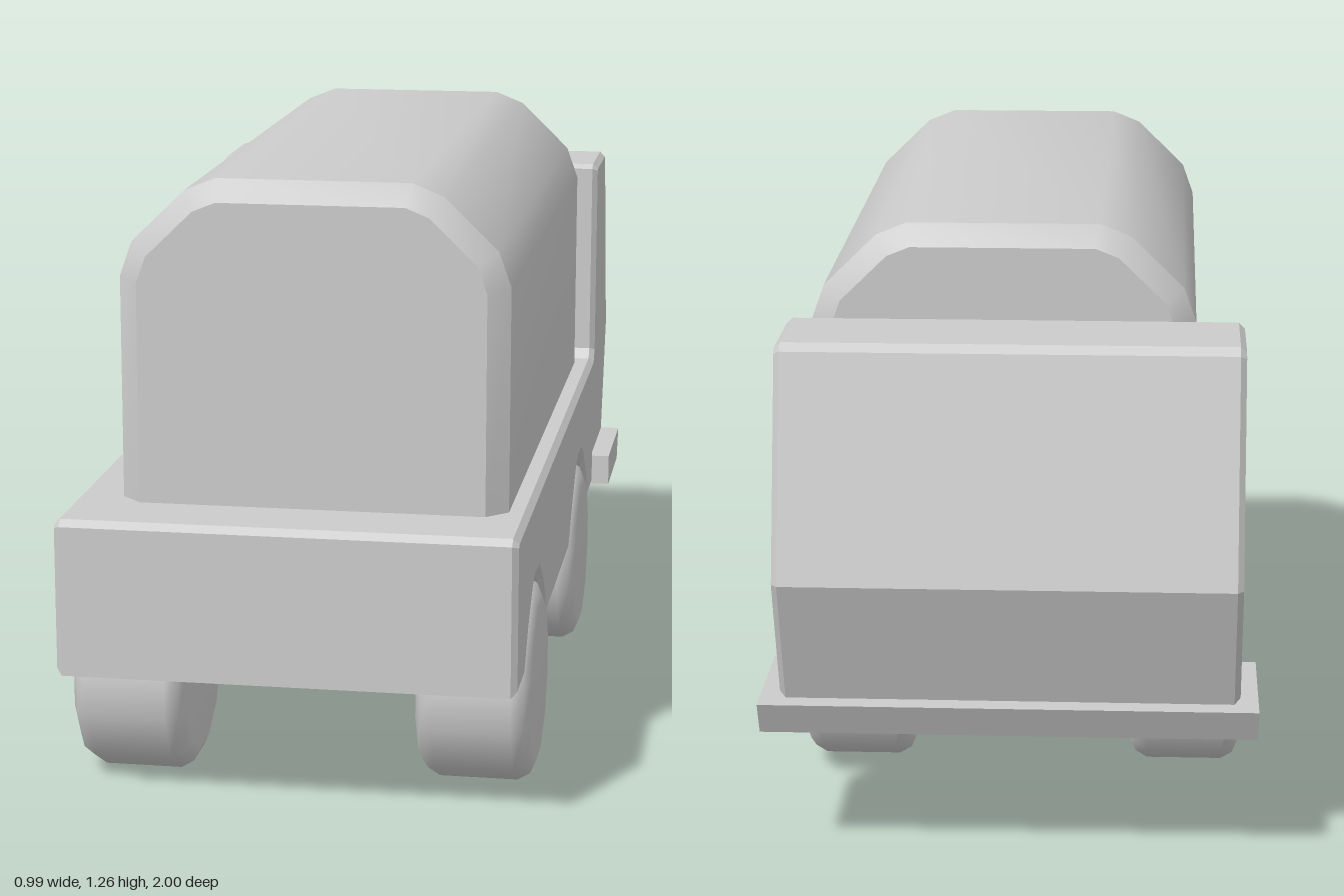
import * as THREE from 'three';
import { toCreasedNormals } from 'three/addons/utils/BufferGeometryUtils.js';

const grey = new THREE.MeshStandardMaterial({ color: 0xcccccc });

// Extrude an outline to a total depth centred on 0, with a chamfer kept inside the outline
function chamferedExtrude(points, depth, chamfer) {
  const shape = new THREE.Shape(points.map(([x, y]) => new THREE.Vector2(x, y)));
  const g = new THREE.ExtrudeGeometry(shape, {
    depth: depth - 2 * chamfer,
    bevelEnabled: chamfer > 0,
    bevelThickness: chamfer,
    bevelSize: chamfer,
    bevelOffset: -chamfer,
    bevelSegments: 1,
  });
  return g.translate(0, 0, -depth / 2 + chamfer);
}

// Side profile given as (z, y), extruded across x
const sideExtrude = (points, width, chamfer) =>
  chamferedExtrude(points, width, chamfer).rotateY(-Math.PI / 2);

function part(name, geometry, crease = 0.3) {
  const mesh = new THREE.Mesh(toCreasedNormals(geometry, crease), grey);
  mesh.name = name;
  return mesh;
}

export function createModel() {
  const group = new THREE.Group();
  group.name = 'tankTruck';

  // Chassis and cab in one side profile, with the wheel arches cut through
  const body = part('chassisAndCab', sideExtrude([
    [1, 0.29], [1, 0.595], [0.985, 0.608],
    [-0.63, 0.608], [-0.648, 0.63],
    [-0.648, 1.07], [-0.66, 1.08], [-0.865, 1.08], [-0.882, 1.065],
    [-1, 0.625], [-0.9, 0.36], [-0.65, 0.36], [-0.65, 0.29],
    [-0.51, 0.29], [-0.47, 0.35], [-0.38, 0.43], [-0.33, 0.45], [-0.25, 0.45],
    [-0.21, 0.435], [-0.13, 0.37], [-0.05, 0.29],
    [0.44, 0.29], [0.53, 0.39], [0.6, 0.435], [0.68, 0.44],
    [0.72, 0.425], [0.79, 0.37], [0.86, 0.29],
  ], 0.917, 0.012));
  body.position.x = -0.002;
  group.add(body);

  // Bumper under the cab
  group.add(part('bumper', sideExtrude([
    [-0.65, 0.29], [-0.91, 0.29], [-0.945, 0.36], [-0.65, 0.36],
  ], 0.993, 0)));

  // Tank with chamfered ends, its foot sunk into the deck
  const half = [[0.39, 0.55], [0.39, 1.06], [0.365, 1.13], [0.257, 1.235], [0.195, 1.26]];
  const mirrored = half.map(([x, y]) => [-x, y]).reverse();
  const tank = part('tank', chamferedExtrude([...half, ...mirrored], 1.46, 0.042), 0.6);
  tank.position.set(0.025, 0, 0.11);
  group.add(tank);

  // Twelve-sided wheels with rounded shoulders, flat side down
  const profile = [
    [0, -0.12], [0.165, -0.117], [0.193, -0.105], [0.207, -0.08],
    [0.207, 0.08], [0.193, 0.105], [0.165, 0.117], [0, 0.12],
  ].map(([r, y]) => new THREE.Vector2(r, y));
  const wheelGeometry = new THREE.LatheGeometry(profile, 12)
    .rotateY(Math.PI / 12).rotateZ(Math.PI / 2);
  const wheels = [
    ['rearLeftWheel', 0.348, 0.217, 0.648, 1.01],
    ['rearRightWheel', -0.354, 0.212, 0.655, 1.04],
    ['frontLeftWheel', 0.348, 0.225, -0.288, 1],
    ['frontRightWheel', -0.354, 0.225, -0.288, 1],
  ];
  for (const [name, x, y, z, size] of wheels) {
    const wheel = new THREE.Mesh(wheelGeometry, grey);
    wheel.name = name;
    wheel.position.set(x, y, z);
    wheel.scale.set(1, size, size);
    group.add(wheel);
  }
  return group;
}
